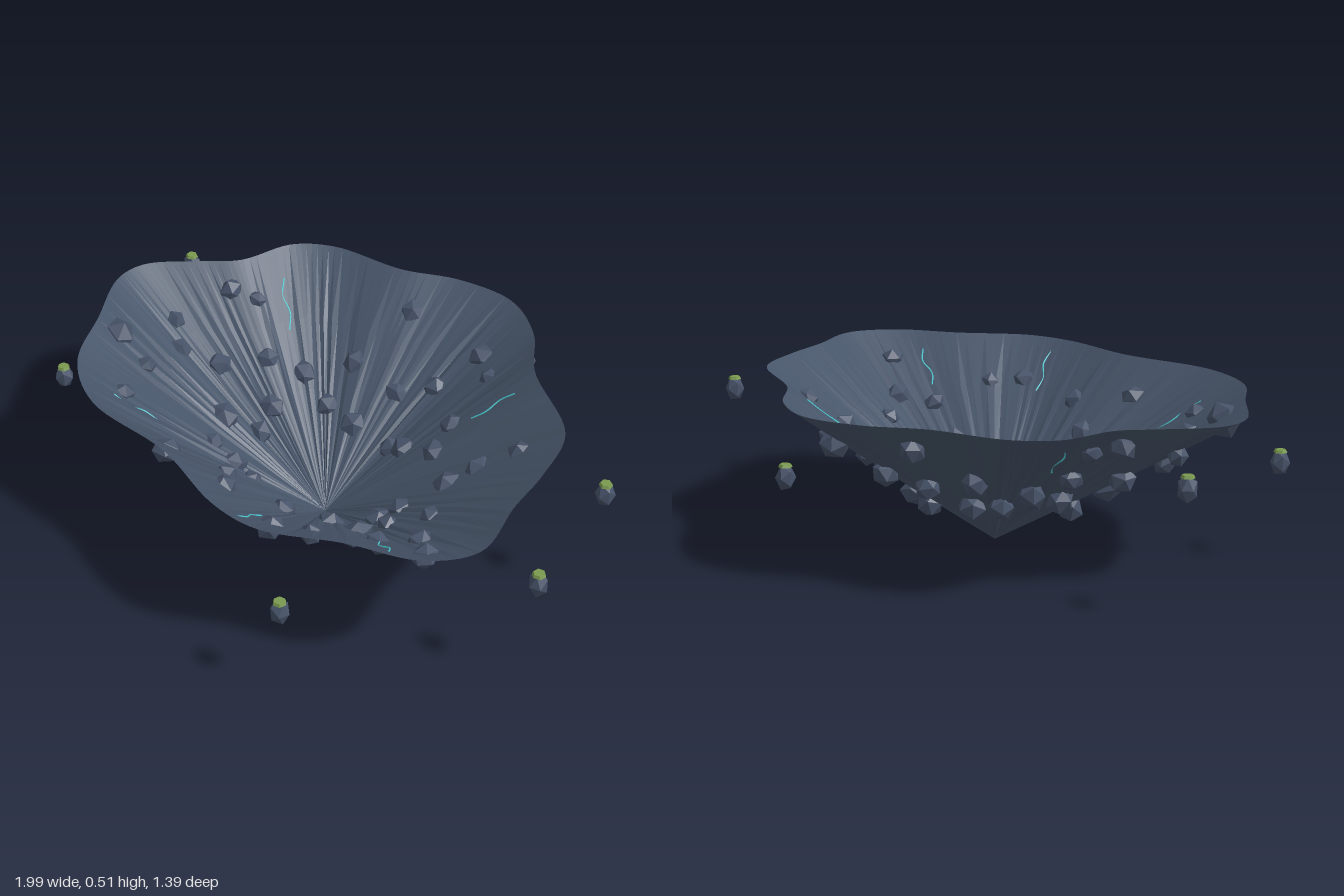
import * as THREE from 'three';

const HEIGHT = 0.51;
const CX = -0.025, CZ = 0.07; // apex of the cone
const COLUMNS = 176;

function seeded(seed) {
  return () => {
    seed = (seed * 16807) % 2147483647;
    return seed / 2147483647;
  };
}

// wavy rim outline, [x, z]
const RIM = [
  [-0.02, -0.66], [0.16, -0.60], [0.326, -0.465], [0.61, -0.337], [0.717, -0.16], [0.78, 0], [0.872, 0.2],
  [0.807, 0.348], [0.62, 0.476], [0.433, 0.63], [0.27, 0.668], [-0.02, 0.647], [-0.34, 0.69],
  [-0.556, 0.615], [-0.717, 0.444], [-0.877, 0.267], [-0.893, 0.16], [-0.797, 0], [-0.727, -0.107],
  [-0.706, -0.294], [-0.61, -0.4], [-0.37, -0.492], [-0.21, -0.604],
];

// rocks stuck to the cone: [angle in degrees, height, radius]
const ROCKS = [
  [153, 0.45, 0.052], [172, 0.39, 0.036], [167, 0.345, 0.038], [175, 0.29, 0.042], [150, 0.39, 0.034],
  [133, 0.405, 0.04], [158, 0.22, 0.05], [170, 0.155, 0.044], [136, 0.225, 0.036], [127, 0.18, 0.044],
  [114, 0.16, 0.036], [103, 0.40, 0.042], [94, 0.29, 0.042], [78, 0.36, 0.042], [64, 0.19, 0.045],
  [52, 0.385, 0.042], [40, 0.375, 0.036], [22, 0.22, 0.048], [6, 0.205, 0.04], [2, 0.16, 0.044],
  [20, 0.315, 0.04], [10, 0.335, 0.046], [15, 0.43, 0.04], [33, 0.18, 0.045], [-2, 0.30, 0.036],
  [-7, 0.20, 0.04], [-24, 0.27, 0.045], [-30, 0.325, 0.044], [-70, 0.18, 0.05], [-82, 0.155, 0.042],
  [-50, 0.25, 0.042], [-60, 0.30, 0.04], [-90, 0.29, 0.042], [-72, 0.39, 0.036], [-83, 0.39, 0.045],
  [-114, 0.42, 0.042], [-154, 0.25, 0.044], [-171, 0.44, 0.042], [-165, 0.42, 0.03], [-130, 0.29, 0.042],
  [-142, 0.19, 0.044], [-122, 0.17, 0.045], [-168, 0.30, 0.04], [-105, 0.25, 0.04], [-175, 0.20, 0.044],
  [-32, 0.41, 0.038],
];

// loose mossy rocks: [x, y, z]
const FLOATERS = [
  [0.06, 0.315, -0.67], [0.795, 0.405, -0.335], [0.965, 0.39, 0.064],
  [0.56, 0.31, 0.65], [-0.76, 0.31, 0.56], [-0.967, 0.385, -0.066],
];

// glowing veins: [angle in degrees, start, end] along the slope
const VEINS = [[58, 0.72, 0.93], [-54, 0.7, 0.9], [-156, 0.68, 0.88], [128, 0.68, 0.86], [22, 0.72, 0.9]];

export function createModel() {
  const group = new THREE.Group();
  const stone = new THREE.MeshStandardMaterial({ color: 0x475569, flatShading: true, side: THREE.DoubleSide });
  stone.name = 'slate stone';
  const rockMat = new THREE.MeshStandardMaterial({ color: 0x465268, flatShading: true });
  rockMat.name = 'rock';
  const moss = new THREE.MeshStandardMaterial({ color: 0x7a9a4f, flatShading: true });
  moss.name = 'moss green';
  const glow = new THREE.MeshStandardMaterial({ color: 0x4fd0d8 });
  glow.name = 'vein cyan';

  const add = (name, geometry, material, parent = group) => {
    const mesh = new THREE.Mesh(geometry, material);
    mesh.name = name;
    parent.add(mesh);
    return mesh;
  };

  const rim = new THREE.CatmullRomCurve3(
    RIM.map(([x, z]) => new THREE.Vector3(x - CX, 0, z - CZ)), true, 'centripetal').getPoints(COLUMNS);

  // distance from the axis to the rim in a given direction
  const rimRadius = (angle) => {
    let best = rim[0], most = -2;
    for (const p of rim) {
      const dot = (p.x * Math.cos(angle) + p.z * Math.sin(angle)) / p.length();
      if (dot > most) { most = dot; best = p; }
    }
    return best.length();
  };

  // hollow cone with pleats that fade towards the rim
  const rand = seeded(71);
  const pleat = Array.from({ length: COLUMNS }, () => (rand() - 0.5) * 0.09);
  const levels = [0, 0.2, 0.45, 0.72, 1];
  const positions = [], index = [];
  levels.forEach((t, row) => {
    for (let i = 0; i <= COLUMNS; i++) {
      const k = t * (1 + pleat[i % COLUMNS] * (1 - t));
      positions.push(CX + rim[i].x * k, t * HEIGHT, CZ + rim[i].z * k);
      if (row && i < COLUMNS) {
        const a = (row - 1) * (COLUMNS + 1) + i, b = a + COLUMNS + 1;
        index.push(a, b, b + 1);
        if (row > 1) index.push(a, b + 1, a + 1);
      }
    }
  });
  const cone = new THREE.BufferGeometry();
  cone.setAttribute('position', new THREE.Float32BufferAttribute(positions, 3));
  cone.setIndex(index);
  cone.computeVertexNormals();
  add('pleatedCone', cone, stone);

  // rocks on the slope
  const rocks = new THREE.Group();
  rocks.name = 'slopeRocks';
  group.add(rocks);
  const rockShape = new THREE.IcosahedronGeometry(1, 0);
  for (const [degrees, y, r] of ROCKS) {
    const a = degrees * Math.PI / 180;
    const d = rimRadius(a) * y / HEIGHT + r * 0.5;
    const rock = add('rock', rockShape, rockMat, rocks);
    rock.position.set(CX + d * Math.cos(a), y, CZ + d * Math.sin(a));
    rock.scale.set(r * (0.9 + rand() * 0.25), r * (0.85 + rand() * 0.2), r * (0.9 + rand() * 0.25));
    rock.rotation.set(rand() * 6, rand() * 6, rand() * 6);
  }

  // loose rocks with moss caps
  for (const [x, y, z] of FLOATERS) {
    const floater = new THREE.Group();
    floater.name = 'looseRock';
    floater.position.set(x, y, z);
    floater.rotation.y = rand() * 6;
    group.add(floater);
    add('looseStone', rockShape, rockMat, floater).scale.set(0.031, 0.042, 0.031);
    add('mossCap', new THREE.CylinderGeometry(0.017, 0.021, 0.009, 6), moss, floater).position.y = 0.036;
  }

  // thin veins lying in the cone wall
  for (const [degrees, from, to] of VEINS) {
    const a = degrees * Math.PI / 180, R = rimRadius(a);
    const points = [0, 1, 2, 3].map((i) => {
      const t = from + (to - from) * i / 3, bend = a + (i % 2 ? 0.012 : -0.012);
      return new THREE.Vector3(CX + R * t * Math.cos(bend), t * HEIGHT, CZ + R * t * Math.sin(bend));
    });
    add('vein', new THREE.TubeGeometry(new THREE.CatmullRomCurve3(points), 12, 0.0025, 5), glow);
  }
  return group;
}
